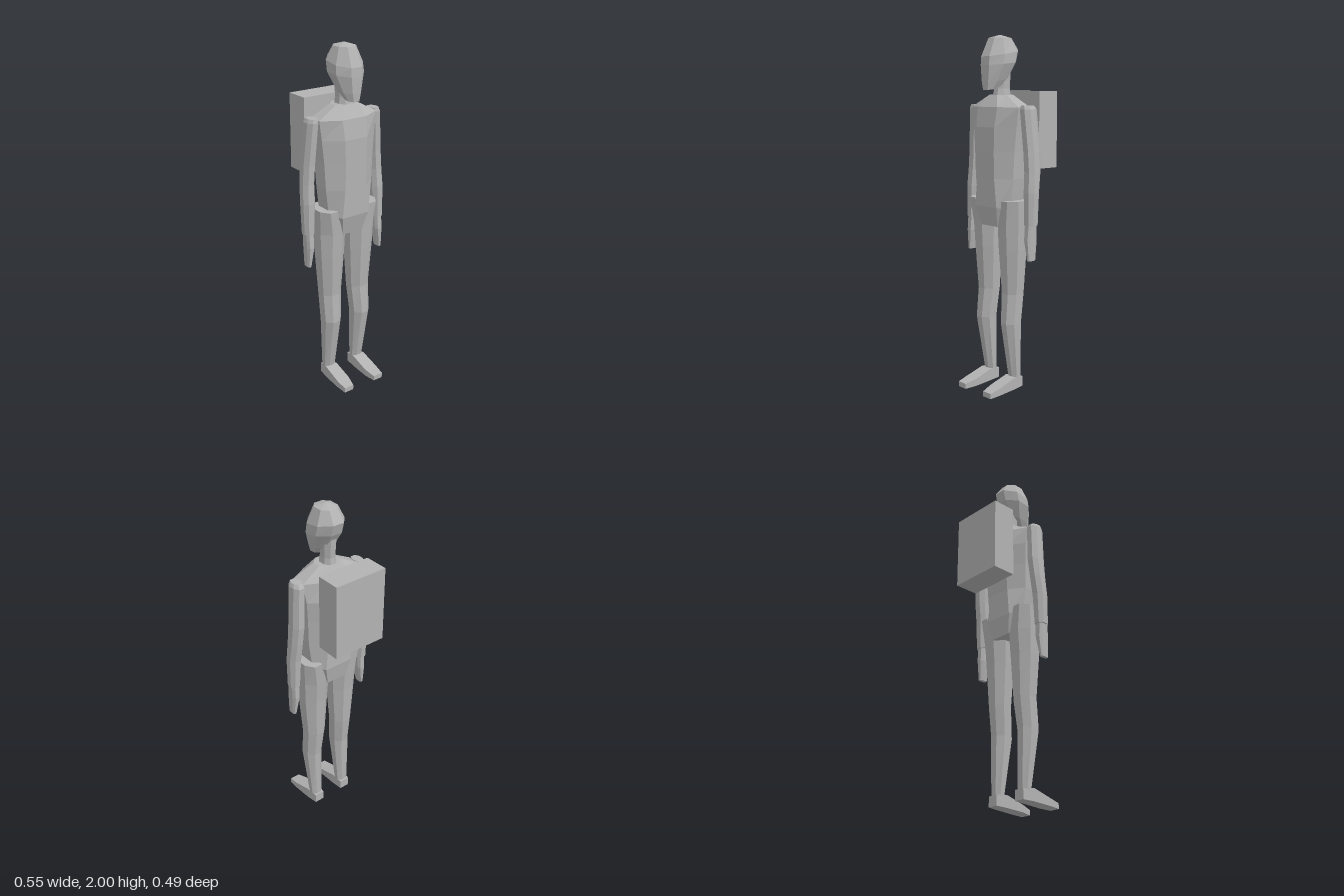
import * as THREE from 'three';

const grey = new THREE.MeshStandardMaterial({ color: 0xb2b2b2 });
grey.name = 'plain grey';

// Skins a stack of equal-sided rings with flat facets and closes both ends.
function loft(name, rings, peak = 0) {
  const pos = [];
  const tri = (a, b, c) => pos.push(...a, ...b, ...c);
  const n = rings[0].length;
  const mid = (r) => [0, 1, 2].map((k) => r.reduce((s, p) => s + p[k], 0) / n);
  const first = rings[0], last = rings[rings.length - 1];
  const low = mid(first), high = mid(last);
  high[1] += peak;
  for (let i = 0; i < n; i++) {
    const j = (i + 1) % n;
    for (let k = 0; k + 1 < rings.length; k++) {
      const L = rings[k], U = rings[k + 1];
      tri(L[i], U[i], L[j]);
      tri(L[j], U[i], U[j]);
    }
    tri(low, first[i], first[j]);
    tri(high, last[j], last[i]);
  }
  const geo = new THREE.BufferGeometry();
  geo.setAttribute('position', new THREE.Float32BufferAttribute(pos, 3));
  geo.computeVertexNormals();
  const mesh = new THREE.Mesh(geo, grey);
  mesh.name = name;
  return mesh;
}

// Chamfered eight-sided ring: height, x range, z range, flat share of width
// and depth, and how much the front edge is lowered / the back edge raised.
function octagon(y, x0, x1, z0, z1, a = 0.45, b = 0.45, tilt = 0) {
  const cx = (x0 + x1) / 2, cz = (z0 + z1) / 2, w = (x1 - x0) / 2, d = (z1 - z0) / 2;
  return [[1, -b], [1, b], [a, 1], [-a, 1], [-1, b], [-1, -b], [-a, -1], [a, -1]]
    .map(([u, v]) => [cx + u * w, y - v * tilt, cz + v * d]);
}

// Upright limb on one side of the body, from rows of [y, inner x, outer x, back z, front z].
function limb(name, side, rows, a, b) {
  return loft(name, rows.map(([y, i, o, z0, z1]) =>
    octagon(y, Math.min(i * side, o * side), Math.max(i * side, o * side), z0, z1, a, b)));
}

// Shoe made of four-sided sections running from heel to toe.
function foot(side) {
  const rows = [ // z, inner x, outer x, bottom y, top y
    [-0.01, 0.07, 0.13, 0.012, 0.07],
    [0.06, 0.064, 0.14, 0.01, 0.08],
    [0.18, 0.063, 0.143, 0.004, 0.045],
    [0.245, 0.077, 0.138, 0, 0.03],
  ];
  return loft('foot', rows.map(([z, i, o, y0, y1]) => {
    const x0 = Math.min(i * side, o * side), x1 = Math.max(i * side, o * side);
    return [[x1, y1, z], [x1, y0, z], [x0, y0, z], [x0, y1, z]];
  }));
}

export function createModel() {
  const model = new THREE.Group();
  model.name = 'figure with backpack';

  // Torso, from the crotch up to the sloping shoulders
  model.add(loft('torso', [
    [0.95, 0.08, -0.05, 0.125, 0.8],
    [1.06, 0.135, -0.07, 0.153, 0.65],
    [1.22, 0.155, -0.065, 0.153, 0.45],
    [1.37, 0.163, -0.075, 0.154, 0.42],
    [1.5, 0.175, -0.087, 0.154, 0.42],
    [1.61, 0.188, -0.06, 0.138, 0.42],
    [1.675, 0.07, -0.025, 0.095, 0.45],
  ].map(([y, w, z0, z1, a]) => octagon(y, -w, w, z0, z1, a, 0.42))));

  // Neck
  model.add(loft('neck', [
    octagon(1.66, -0.042, 0.042, -0.022, 0.083),
    octagon(1.71, -0.035, 0.035, -0.015, 0.073),
    octagon(1.82, -0.04, 0.04, -0.022, 0.07),
  ]));

  // Head with a flat face, a jaw set forward and a faceted crown
  model.add(loft('head', [
    octagon(1.706, -0.036, 0.036, 0.075, 0.153, 0.5, 0.45, 0.004),
    octagon(1.755, -0.058, 0.058, 0.01, 0.155, 0.45, 0.45, 0.01),
    octagon(1.845, -0.09, 0.09, -0.045, 0.155, 0.38, 0.42, 0.01),
    octagon(1.9, -0.088, 0.088, -0.063, 0.152, 0.38, 0.42, 0.018),
    octagon(1.982, -0.055, 0.055, -0.02, 0.106, 0.45, 0.45),
  ], 0.018));

  for (const side of [1, -1]) {
    const half = new THREE.Group();
    half.name = side > 0 ? 'left limbs' : 'right limbs';

    // Arm and hand
    half.add(limb('upperArm', side, [
      [1.26, 0.195, 0.268, -0.025, 0.062],
      [1.37, 0.187, 0.26, -0.033, 0.062],
      [1.6, 0.172, 0.24, -0.02, 0.073],
      [1.62, 0.178, 0.23, -0.005, 0.068],
    ], 0.5, 0.4));
    half.add(limb('forearm', side, [
      [0.97, 0.207, 0.27, -0.002, 0.07],
      [1.15, 0.198, 0.274, -0.01, 0.07],
      [1.26, 0.195, 0.268, -0.025, 0.062],
    ], 0.5, 0.4));
    half.add(limb('hand', side, [
      [0.775, 0.236, 0.258, 0.015, 0.065],
      [0.89, 0.216, 0.26, 0.002, 0.073],
      [0.975, 0.214, 0.262, 0.005, 0.066],
    ], 0.6, 0.5));

    // Leg and foot
    half.add(limb('leg', side, [
      [0.07, 0.065, 0.137, -0.002, 0.058],
      [0.4, 0.05, 0.157, -0.002, 0.115],
      [0.57, 0.038, 0.16, -0.02, 0.1],
      [0.82, 0.022, 0.178, -0.032, 0.116],
      [0.96, 0.016, 0.185, -0.045, 0.124],
      [1.1, 0.075, 0.19, -0.055, 0.135],
    ], 0.4, 0.45));
    half.add(foot(side));
    model.add(half);
  }

  // Backpack carried clear of the back
  const pack = new THREE.Mesh(new THREE.BoxGeometry(0.32, 0.43, 0.142), grey);
  pack.name = 'backpack';
  pack.position.set(0, 1.48, -0.175);
  model.add(pack);

  return model;
}
